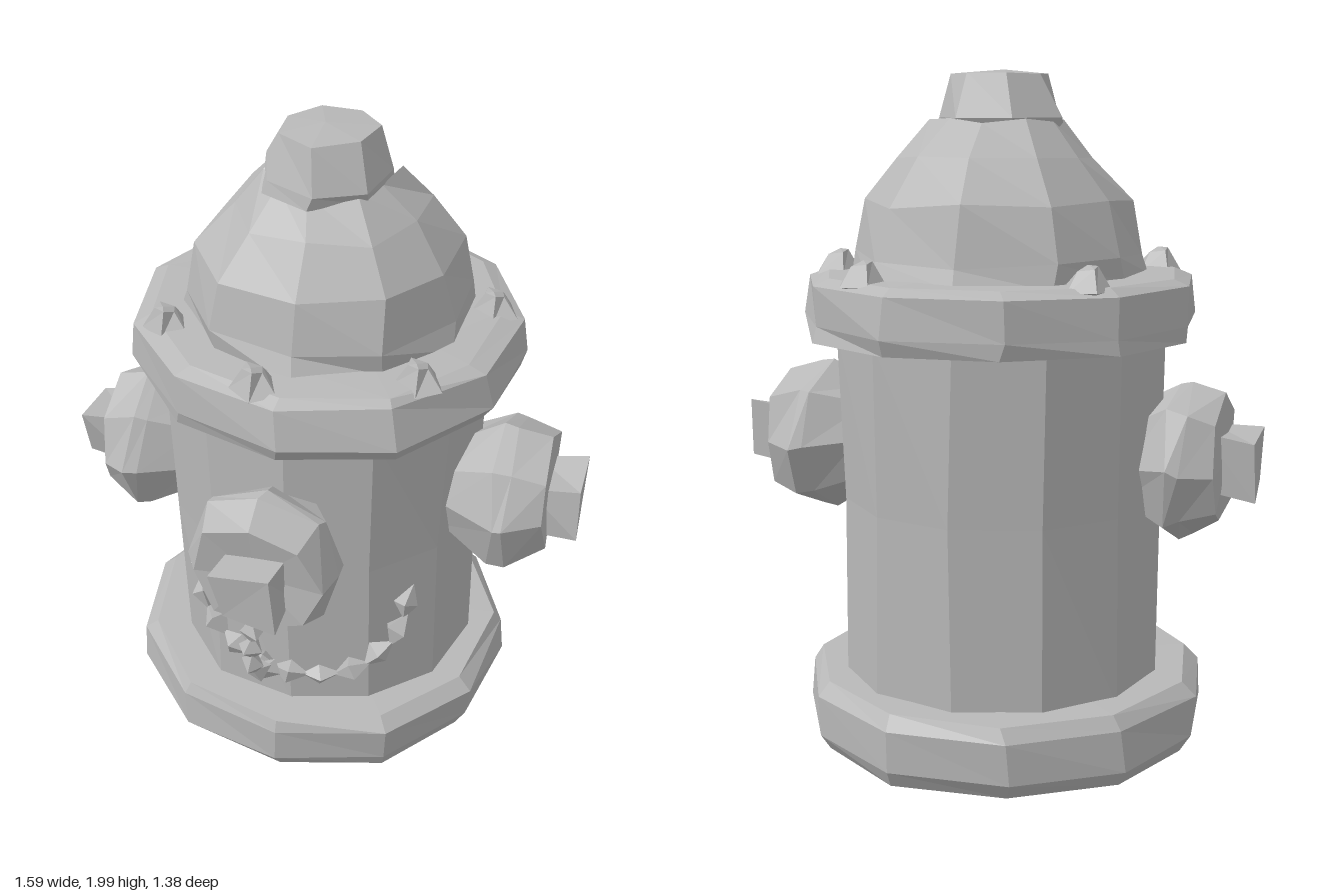
import * as THREE from 'three';

const iron = new THREE.MeshStandardMaterial({ color: 0xb8b8b8, flatShading: true });
iron.name = 'cast iron grey';

// Repeatable offset in -1..1, the same for vertices sharing a position
function noise(x, y, z, k) {
  const s = Math.sin(x * 127.1 + y * 311.7 + z * 74.7 + k * 53.3) * 4375.85;
  return (s - Math.floor(s)) * 2 - 1;
}

// Hand-chiselled look: nudge each vertex a little
function chisel(geo, amount, amountY = amount) {
  const p = geo.attributes.position;
  for (let i = 0; i < p.count; i++) {
    const [x, y, z] = [p.getX(i), p.getY(i), p.getZ(i)].map(v => Math.round(v * 1000) / 1000);
    p.setXYZ(i, x + amount * noise(x, y, z, 1), y + amountY * noise(x, y, z, 2), z + amount * noise(x, y, z, 3));
  }
  geo.computeVertexNormals();
  return geo;
}

function part(name, geo, x = 0, y = 0, z = 0) {
  const m = new THREE.Mesh(geo, iron);
  m.name = name;
  m.position.set(x, y, z);
  return m;
}

function turned(points, sides) {
  return new THREE.LatheGeometry(points.map(([r, y]) => new THREE.Vector2(r, y)), sides);
}

// Outlet cap pointing along +y, with a square nut on its end
function outletCap(name, length) {
  const g = new THREE.Group();
  g.name = name;
  const cap = turned([[0.15, -0.08], [0.16, 0], [0.235, length * 0.5], [0.235, length * 0.65],
    [0.19, length], [0, length]], 8);
  g.add(part('cap', chisel(cap, 0.014)));
  const nut = chisel(new THREE.BoxGeometry(0.17, 0.15, 0.17), 0.02, 0.008);
  g.add(part('capNut', nut, 0, length + 0.02, 0));
  return g;
}

// String of chunky links along a curve
function chain(name, points, count) {
  const g = new THREE.Group();
  g.name = name;
  const curve = new THREE.CatmullRomCurve3(points.map(p => new THREE.Vector3(...p)));
  const up = new THREE.Vector3(0, 1, 0);
  const step = curve.getLength() / count;
  for (let i = 0; i < count; i++) {
    const t = (i + 0.5) / count;
    const geo = new THREE.OctahedronGeometry(1);
    geo.scale(0.042, step * 0.62, 0.036);
    const link = part('chainLink', chisel(geo, 0.007), ...curve.getPointAt(t).toArray());
    link.quaternion.setFromUnitVectors(up, curve.getTangentAt(t));
    link.rotateY(i * 0.8);
    g.add(link);
  }
  return g;
}

export function createModel() {
  const hydrant = new THREE.Group();
  hydrant.name = 'hydrant';
  const cx = -0.02, cz = -0.1;

  // Base flange, barrel and rim
  const base = turned([[0, 0.01], [0.575, 0.01], [0.61, 0.06], [0.61, 0.18], [0.58, 0.22], [0.4, 0.225]], 11);
  hydrant.add(part('base', chisel(base, 0.012, 0), cx - 0.01, 0, cz));

  const barrel = turned([[0.485, 0.2], [0.485, 0.75], [0.495, 1.25]], 12);
  hydrant.add(part('barrel', chisel(barrel, 0.01, 0), cx, 0, cz));

  const rim = turned([[0.4, 1.235], [0.575, 1.235], [0.59, 1.28], [0.575, 1.395], [0.53, 1.415], [0.38, 1.42]], 11);
  hydrant.add(part('rim', chisel(rim, 0.012, 0.003), cx, 0, cz));

  // Domed bonnet with a knob on top
  const dome = turned([[0.435, 1.4], [0.425, 1.47], [0.385, 1.62], [0.29, 1.75], [0.19, 1.85]], 10);
  hydrant.add(part('bonnet', chisel(dome, 0.018, 0.012), cx + 0.005, 0, cz - 0.005));

  const knob = turned([[0.19, 1.82], [0.19, 1.86], [0.14, 1.985], [0, 1.998]], 7);
  hydrant.add(part('bonnetKnob', chisel(knob, 0.012, 0.002), -0.015, 0, -0.08));

  // Small bolts standing on the rim
  for (const deg of [-10, 45, 100, 145, 225, 300]) {
    const a = deg * Math.PI / 180;
    const bolt = chisel(new THREE.CylinderGeometry(0.035, 0.07, 0.07, 5), 0.012);
    hydrant.add(part('rimBolt', bolt, cx + 0.49 * Math.sin(a), 1.43, cz + 0.49 * Math.cos(a)));
  }

  // Three outlet caps
  const left = outletCap('leftOutlet', 0.3);
  left.rotation.z = -Math.PI / 2;
  left.position.set(0.4, 0.88, -0.04);
  const right = outletCap('rightOutlet', 0.28);
  right.rotation.z = Math.PI / 2;
  right.position.set(-0.41, 0.87, -0.05);
  const front = outletCap('frontOutlet', 0.25);
  front.rotation.x = Math.PI / 2;
  front.position.set(-0.05, 0.89, 0.34);
  hydrant.add(left, right, front);

  // Hanging chain, joined to the front cap
  hydrant.add(chain('hangingChain', [[-0.33, 0.7, 0.27], [-0.28, 0.54, 0.36], [-0.15, 0.45, 0.43],
    [0.03, 0.41, 0.45], [0.2, 0.43, 0.4], [0.3, 0.52, 0.33], [0.34, 0.67, 0.27]], 11));
  hydrant.add(chain('capChain', [[-0.05, 0.76, 0.62], [-0.06, 0.65, 0.61], [-0.06, 0.53, 0.58], [-0.04, 0.43, 0.47]], 5));

  return hydrant;
}
